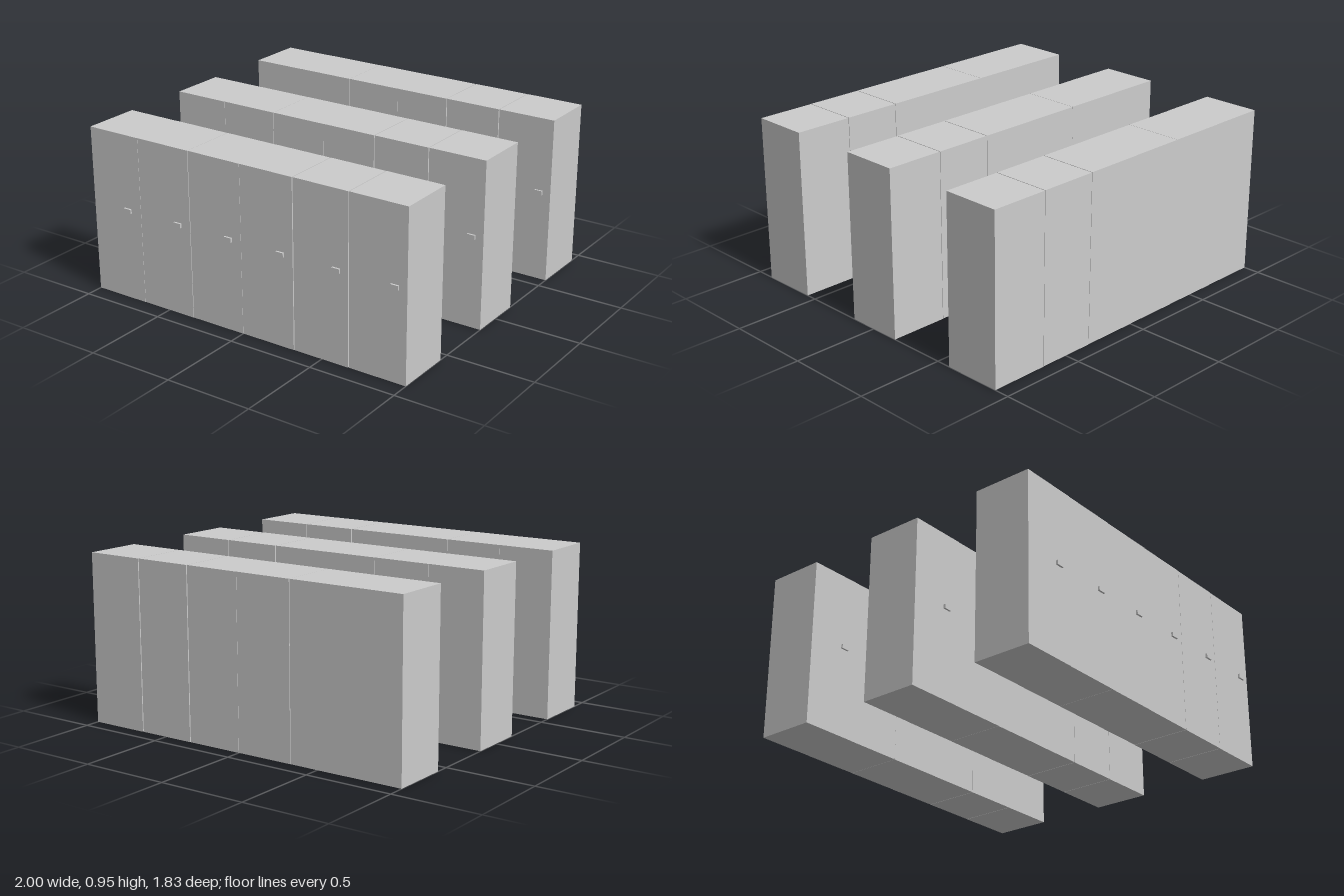
import * as THREE from 'three';

const HEIGHT = 0.95, DEPTH = 0.33;
// left edge, right edge and handle position of each cabinet in a row
const UNITS = [
  [-1, -0.671, -0.76],
  [-0.671, -0.334, -0.415],
  [-0.332, 0, -0.08],
  [0, 0.326, 0.25],
  [0.33, 0.66, 0.59],
  [0.664, 1, 0.93],
];
const ROWS = [['frontRow', 0.732], ['middleRow', -0.001], ['backRow', -0.745]];

function box(name, w, h, d, x, y, z, material) {
  const mesh = new THREE.Mesh(new THREE.BoxGeometry(w, h, d), material);
  mesh.name = name;
  mesh.position.set(x, y, z);
  return mesh;
}

export function createModel() {
  const group = new THREE.Group();
  group.name = 'lockerRows';
  const material = new THREE.MeshStandardMaterial({ color: 0xcccccc, flatShading: true });

  for (const [rowName, z] of ROWS) {
    const row = new THREE.Group();
    row.name = rowName;
    UNITS.forEach(([x0, x1, handleX], i) => {
      // each cabinet sits a hair further back than its neighbour
      const locker = new THREE.Group();
      locker.name = 'locker';
      locker.position.z = z + 0.004 - i * 0.0016;
      locker.add(
        box('cabinet', x1 - x0, HEIGHT, DEPTH, (x0 + x1) / 2, HEIGHT / 2, 0, material),
        // small pull on the door
        box('handle', 0.046, 0.024, 0.02, handleX, 0.52, DEPTH / 2 + 0.001, material),
      );
      row.add(locker);
    });
    group.add(row);
  }
  return group;
}
